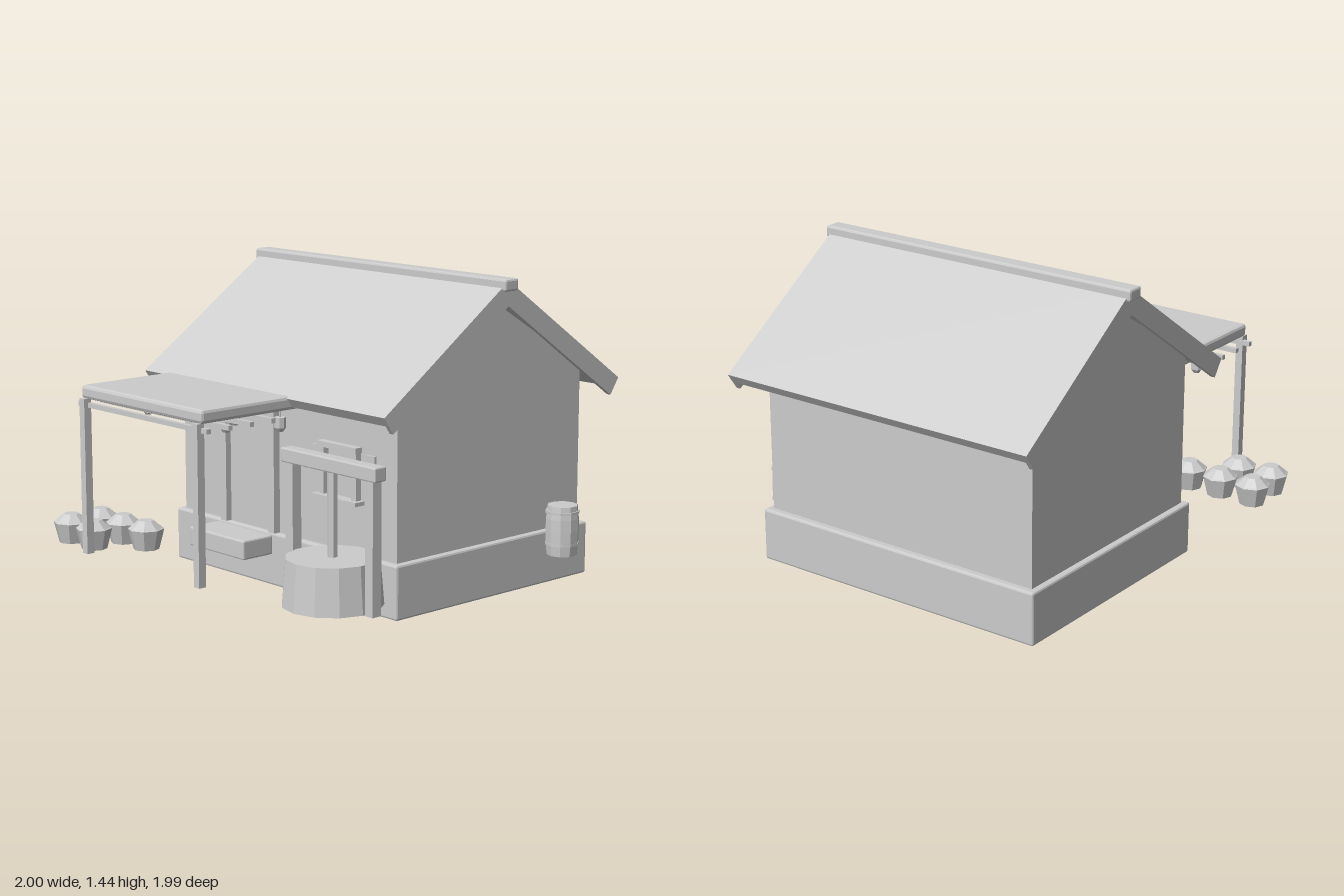
import * as THREE from 'three';
import { RoundedBoxGeometry } from 'three/addons/geometries/RoundedBoxGeometry.js';

const grey = new THREE.MeshStandardMaterial({ color: 0xcccccc, flatShading: true });
grey.name = 'plainGrey';

export function createModel() {
  const model = new THREE.Group();
  model.name = 'cottage';

  const add = (name, geometry, x = 0, y = 0, z = 0) => {
    const mesh = new THREE.Mesh(geometry, grey);
    mesh.name = name;
    mesh.position.set(x, y, z);
    model.add(mesh);
    return mesh;
  };
  // Box given by its limits on each axis, optionally with a bevel
  const box = (name, x0, x1, y0, y1, z0, z1, bevel = 0) => {
    const size = [x1 - x0, y1 - y0, z1 - z0];
    const geometry = bevel
      ? new RoundedBoxGeometry(...size, 1, bevel)
      : new THREE.BoxGeometry(...size);
    return add(name, geometry, (x0 + x1) / 2, (y0 + y1) / 2, (z0 + z1) / 2);
  };
  // Outline in (z, y), extruded along x
  const prism = (name, points, x0, x1) => {
    const shape = new THREE.Shape(points.map(([z, y]) => new THREE.Vector2(-z, y)));
    const geometry = new THREE.ExtrudeGeometry(shape, { depth: x1 - x0, bevelEnabled: false });
    geometry.rotateY(Math.PI / 2);
    return add(name, geometry, x0);
  };
  const lathe = (name, points, sides, x, y, z) =>
    add(name, new THREE.LatheGeometry(points.map(([r, h]) => new THREE.Vector2(r, h)), sides), x, y, z);

  // House body
  const ridgeZ = -0.242;
  box('foundation', -0.8, 0.71, 0, 0.247, -0.855, 0.37, 0.01);
  box('walls', -0.77, 0.68, 0.24, 0.975, -0.82, 0.34);
  prism('gable', [[0.34, 0.975], [ridgeZ, 1.32], [-0.82, 0.975]], -0.795, 0.705);

  // Pitched roof: folded slab, thicker end boards and ridge beam
  const chevron = (t) => {
    const half = 0.745, eave = 0.918, apex = 1.43;
    const angle = Math.atan2(apex - eave, half);
    const dz = t * Math.sin(angle), dy = t * Math.cos(angle);
    return [
      [ridgeZ + half, eave], [ridgeZ, apex], [ridgeZ - half, eave],
      [ridgeZ - half + dz, eave - dy], [ridgeZ, apex - t / Math.cos(angle)],
      [ridgeZ + half - dz, eave - dy],
    ];
  };
  prism('roof', chevron(0.05), -0.855, 0.765);
  prism('endBoard', chevron(0.092), -0.86, -0.838);
  prism('endBoard', chevron(0.092), 0.748, 0.77);
  box('ridgeBeam', -0.88, 0.79, 1.385, 1.44, -0.285, -0.2, 0.01);

  // Porch canopy on posts with cross rods
  box('porchRoof', -0.705, 0.155, 0.865, 0.927, 0.35, 0.985, 0.015);
  for (const x of [-0.683, 0.125]) box('porchPost', x - 0.018, x + 0.018, 0.15, 0.867, 0.96, 0.998);
  for (const z of [0.605, 0.725, 0.845, 0.965]) box('porchRod', -0.74, 0.18, 0.826, 0.848, z - 0.011, z + 0.011);

  // Lanterns hanging below the canopy
  const lanterns = [[-0.635, 0.66], [-0.455, 0.5], [-0.335, 0.63], [-0.165, 0.535], [-0.065, 0.67], [0.085, 0.485]];
  for (const [x, z] of lanterns) {
    lathe('lantern', [[0, 0], [0.014, 0], [0.026, 0.018], [0.026, 0.065], [0, 0.065]], 8, x, 0.76, z);
    add('lanternCord', new THREE.CylinderGeometry(0.004, 0.004, 0.05, 5), x, 0.845, z);
  }

  // Door and step
  box('door', -0.425, -0.13, 0.247, 0.845, 0.335, 0.346);
  for (const x of [-0.447, -0.108]) box('doorJamb', x - 0.021, x + 0.021, 0.247, 0.86, 0.335, 0.375);
  box('doorLintel', -0.49, -0.065, 0.855, 0.9, 0.335, 0.38);
  box('doorStep', -0.472, -0.085, 0.153, 0.243, 0.385, 0.56, 0.008);

  // Window with shutters
  for (const x of [0.228, 0.438]) box('windowJamb', x - 0.015, x + 0.015, 0.485, 0.705, 0.335, 0.37);
  box('windowHead', 0.205, 0.46, 0.7, 0.725, 0.335, 0.378);
  box('windowSill', 0.19, 0.475, 0.47, 0.488, 0.335, 0.395);
  box('shutter', 0.145, 0.21, 0.5, 0.698, 0.335, 0.35);
  box('shutter', 0.485, 0.55, 0.5, 0.698, 0.335, 0.35);

  // Well with its frame and hanging pole
  const wellX = 0.708, wellZ = 0.74;
  add('wellDrum', new THREE.CylinderGeometry(0.2, 0.217, 0.205, 13), wellX, 0.2525, wellZ);
  for (const x of [0.463, 0.955]) box('wellPost', x - 0.023, x + 0.023, 0.15, 0.725, wellZ - 0.024, wellZ + 0.024);
  box('wellBeam', 0.418, 0.998, 0.718, 0.78, wellZ - 0.032, wellZ + 0.032, 0.006);
  add('wellPole', new THREE.CylinderGeometry(0.022, 0.022, 0.37, 6), wellX, 0.54, wellZ);

  // Lidded pots beside the porch
  const pots = [[-0.915, 0.735], [-0.915, 0.905], [-0.74, 0.735], [-0.74, 0.905], [-0.57, 0.735]];
  for (const [x, z] of pots) {
    lathe('pot', [[0, 0], [0.06, 0], [0.084, 0.095], [0.076, 0.1], [0.036, 0.134], [0, 0.134]], 8, x, 0.15, z);
  }

  // Barrel against the side wall
  const barrelX = 0.79, barrelZ = -0.597;
  lathe('barrel', [[0, 0], [0.07, 0], [0.076, 0.06], [0.077, 0.115], [0.076, 0.17], [0.07, 0.23], [0, 0.23]], 10, barrelX, 0.15, barrelZ);
  for (const y of [0.203, 0.35]) add('barrelHoop', new THREE.CylinderGeometry(0.079, 0.079, 0.012, 10), barrelX, y, barrelZ);

  return model;
}
